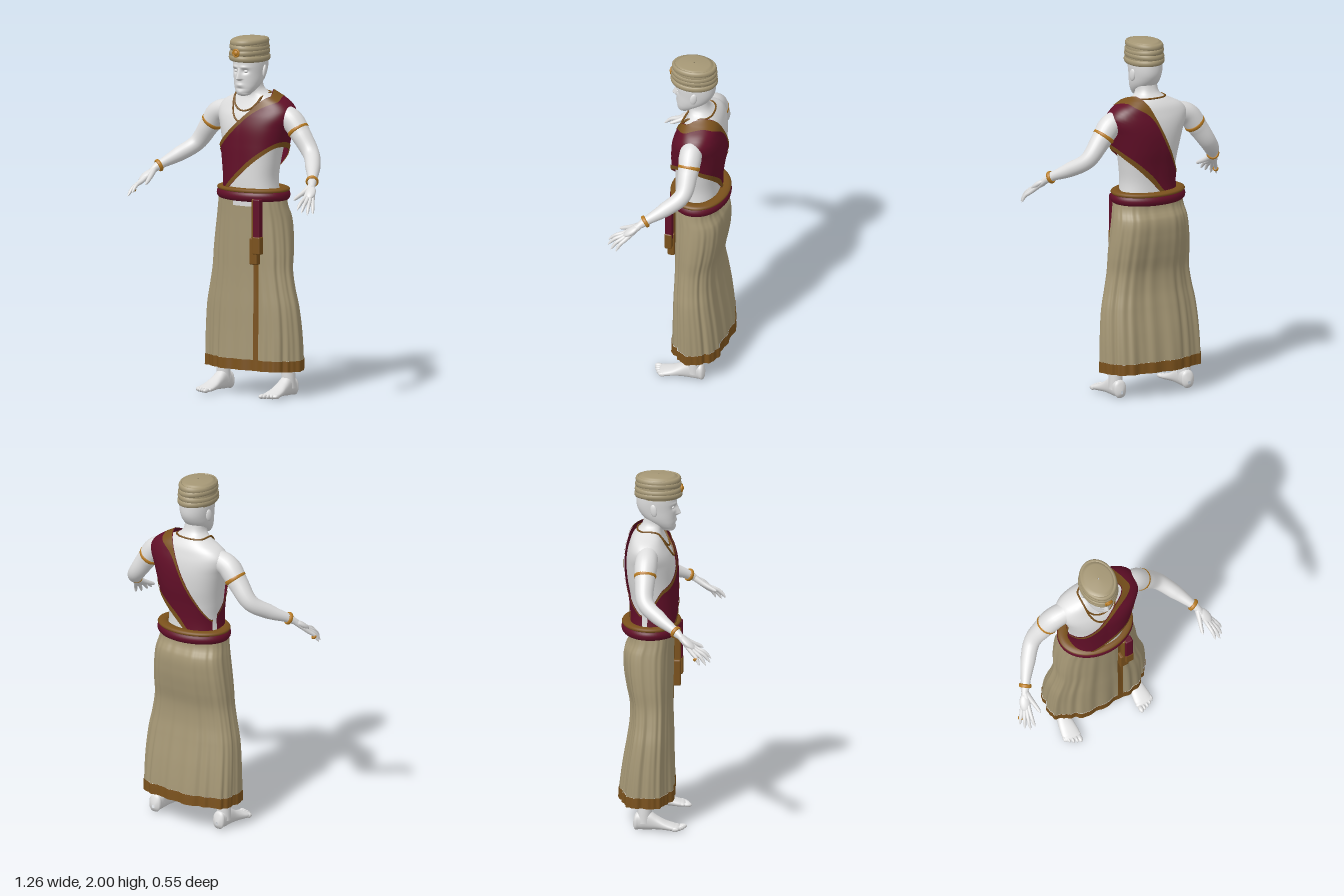
import * as THREE from 'three';
import { ParametricGeometry } from 'three/addons/geometries/ParametricGeometry.js';
import { RoundedBoxGeometry } from 'three/addons/geometries/RoundedBoxGeometry.js';

const { sin, cos, abs, exp, sign, min, max, PI } = Math;
const mat = (name, color, side = THREE.FrontSide) => {
  const m = new THREE.MeshStandardMaterial({ color, side });
  m.name = name;
  return m;
};
const spow = (v, e) => sign(v) * abs(v) ** e;
const bump = (d, s) => exp(-((d / s) ** 2));

// Rounded body from rows [height, half width, front z, back z]; returns a point for (angle, height)
function surface(rows, e) {
  const f = new THREE.CubicInterpolant(rows.map(r => r[0]), rows.flatMap(r => r.slice(1)), 3);
  return (t, y, out = 0) => {
    const [w, a, b] = f.evaluate(y);
    return new THREE.Vector3((w + out) * spow(cos(t), e), y, (a + b) / 2 + ((a - b) / 2 + out) * spow(sin(t), e));
  };
}
const sheet = (fn, y0, y1, nu, nv, a0 = 2 * PI, a1 = 0) => new ParametricGeometry(
  (u, v, p) => p.copy(fn(a0 + (a1 - a0) * u, y0 + (y1 - y0) * v)), nu, nv);

// Oval ring lying flat, optionally tilted sideways
const ring = (y, w, d, cz, rx, ry, tilt = 0) => new ParametricGeometry((u, v, p) => {
  const t = -2 * PI * u, f = 2 * PI * v, o = rx * cos(f);
  p.set((w + o) * cos(t), y + ry * sin(f) + tilt * cos(t), cz + (d + o) * sin(t));
}, 64, 12);

// Tapered limb through points [x, y, z, radius] with a rounded end
function limb(pts, s, seg = 24, radial = 16) {
  const curve = new THREE.CatmullRomCurve3(pts.map(p => new THREE.Vector3(p[0] * s, p[1], p[2])));
  const g = new THREE.TubeGeometry(curve, seg, 1, radial);
  const pos = g.attributes.position, v = new THREE.Vector3();
  for (let i = 0; i <= seg; i++) {
    const u = i / seg, c = curve.getPointAt(u), k = u * (pts.length - 1), n = min(Math.floor(k), pts.length - 2);
    const r = (pts[n][3] + (pts[n + 1][3] - pts[n][3]) * (k - n)) * Math.sqrt(min(1, max(0.01, (1 - u) / 0.12)));
    for (let j = 0; j <= radial; j++) {
      const id = i * (radial + 1) + j;
      v.fromBufferAttribute(pos, id).sub(c).multiplyScalar(r).add(c);
      pos.setXYZ(id, v.x, v.y, v.z);
    }
  }
  return g;
}

export function createModel() {
  const root = new THREE.Group();
  root.name = 'drapedFigure';
  const skin = mat('paleSkin', 0xdedede), tan = mat('tanCloth', 0xa59775, THREE.DoubleSide);
  const red = mat('crimsonCloth', 0x620f28, THREE.DoubleSide), trim = mat('brownTrim', 0x7a511c, THREE.DoubleSide);
  const gold = mat('gold', 0xb97c22);
  const add = (name, geo, m, parent = root) => {
    const mesh = new THREE.Mesh(geo, m);
    mesh.name = name;
    parent.add(mesh);
    return mesh;
  };
  const ball = (name, m, x, y, z, sx, sy, sz, parent = root) => {
    const b = add(name, new THREE.SphereGeometry(1, 20, 14), m, parent);
    b.position.set(x, y, z);
    b.scale.set(sx, sy, sz);
    return b;
  };

  // Torso and neck
  const torso = surface([
    [1.06, .17, .03, -.21], [1.2, .153, .035, -.205], [1.3, .163, .035, -.215], [1.4, .18, .035, -.232],
    [1.5, .205, .028, -.238], [1.56, .225, .01, -.232], [1.6, .222, -.01, -.222], [1.64, .182, -.028, -.208],
    [1.67, .12, -.038, -.188], [1.69, .083, -.038, -.168], [1.71, .065, -.03, -.153], [1.76, .06, -.008, -.14],
    [1.82, .058, -.01, -.14]], .85);
  add('torso', sheet(torso, 1.06, 1.82, 64, 60), skin);

  // Head with modelled face
  const skull = surface([
    [1.672, .006, .008, -.01], [1.678, .03, .022, -.03], [1.695, .048, .031, -.06], [1.72, .064, .035, -.1],
    [1.75, .075, .036, -.14], [1.8, .083, .038, -.175], [1.86, .089, .04, -.185], [1.94, .085, .035, -.175]], .95);
  add('head', sheet((t, y) => {
    const p = skull(t, y);
    if (sin(t) > 0) {
      const x = abs(p.x), n = y > 1.774 ? max(0, (1.835 - y) / .061) : max(0, 1 - (1.774 - y) / .014);
      p.z += .028 * n * bump(x, .008 + .007 * n) - .013 * bump(x - .033, .018) * bump(y - 1.815, .014)
        + .005 * bump(x - .03, .025) * bump(y - 1.838, .009) + .006 * bump(x, .022) * bump(y - 1.737, .01)
        - .004 * bump(x, .025) * bump(y - 1.717, .007) + .004 * bump(x, .018) * bump(y - 1.695, .01);
    }
    return p;
  }, 1.672, 1.94, 128, 80), skin);

  // Sash: band over the left shoulder, steeper across the back
  const edge = (t, slopeF, cF, slopeB, cB) => {
    const w = THREE.MathUtils.smoothstep(sin(t), -.5, .5);
    let lo = 1.13, hi = 1.693;
    for (let i = 0; i < 24; i++) {
      const y = (lo + hi) / 2, x = torso(t, y).x;
      if (y < w * (cF + slopeF * x) + (1 - w) * (cB + slopeB * x)) lo = y; else hi = y;
    }
    return lo;
  };
  const band = (v0, v1, lift) => sheet((t, v) => {
    const a = edge(t, 1, 1.225, 1.17, 1.17), b = max(a + .004, edge(t, 1.05, 1.545, 2.2, 1.53));
    const p = torso(t, a + (b - a) * v, .012 + lift + .02 * max(0, cos(t)));
    p.y += .01 * max(0, (p.y - 1.6) / .1);
    return p;
  }, v0, v1, 120, 24, 1.05 * PI, -.88 * PI);
  add('sash', band(0, 1, 0), red);
  add('sashLowerTrim', band(0, .1, .004), trim);
  add('sashUpperTrim', band(.91, 1, .004), trim);

  // Necklace of two strands
  for (const depth of [.09, .15]) {
    const pts = [];
    for (let i = 0; i < 32; i++) {
      const a = i / 32 * 2 * PI, f = sin(a) > 0;
      const y = f ? 1.68 - depth * sin(a) : 1.685, x = .085 * cos(a);
      const w = torso(0, y).x, t = Math.acos(spow(max(-1, min(1, x / w)), 1 / .85));
      pts.push(torso(f ? t : -t, y, .006));
    }
    add('necklace', new THREE.TubeGeometry(new THREE.CatmullRomCurve3(pts, true), 80, .005, 8, true), trim);
  }

  // Long skirt with soft folds, hem and front stripe
  const skirtBase = surface([
    [.14, .3, .028, -.27], [.2, .3, .026, -.267], [.35, .297, .022, -.25], [.5, .285, .02, -.226],
    [.6, .265, .018, -.212], [.7, .248, .018, -.212], [.8, .243, .02, -.232], [.9, .234, .022, -.248],
    [1, .22, .024, -.248], [1.06, .208, .026, -.222], [1.13, .198, .03, -.22]], .8);
  const skirt = (t, y, out = 0) => {
    const k = .0015 + .0055 * (1.13 - y);
    return skirtBase(t, y, out + k * (sin(7 * t + 1 + y) + .6 * sin(17 * t + 2 * y) + .4 * sin(29 * t)));
  };
  add('skirt', sheet(skirt, .2, 1.13, 160, 50), tan);
  add('skirtHem', sheet((t, y) => skirt(t, y, .002), .14, .2, 160, 4), trim);
  add('skirtStripe', new ParametricGeometry((u, v, p) => {
    const y = .2 + .88 * v, w = skirtBase(0, y).x;
    p.copy(skirt(Math.acos(((.082 + .033 * u) / w) ** 1.25), y, .005));
  }, 6, 50), trim);

  // Rolled belt and its hanging tails
  add('belt', ring(1.118, .198, .143, -.1, .024, .03), red);
  add('beltRim', ring(1.148, .19, .135, -.1, .03, .014), trim);
  const tail = (name, m, x, y, z, w, h, d) =>
    add(name, new RoundedBoxGeometry(w, h, d, 3, .008), m).position.set(x, y, z);
  tail('tailRed', red, .131, .985, .044, .046, .25, .04);
  tail('tailEdge', trim, .106, .96, .038, .022, .3, .036);
  tail('tailFringeLong', trim, .105, .815, .036, .052, .15, .04);
  tail('tailFringeShort', trim, .133, .85, .046, .05, .1, .042);

  // Wrapped turban with brooch
  const cap = surface([
    [1.868, .095, .055, -.178], [1.9, .1, .062, -.188], [1.94, .098, .06, -.186], [1.97, .097, .056, -.182],
    [1.99, .086, .04, -.165], [1.997, .06, .01, -.135], [2, .004, -.056, -.066]], 1);
  add('turban', sheet(cap, 1.868, 2, 64, 30), tan);
  [[1.887, .094, -.004], [1.915, .092, .005], [1.945, .09, -.005], [1.972, .087, .004]].forEach(([y, w, tilt]) =>
    add('turbanWrap', ring(y, w, w + .028, -.062, .012, .018, tilt), tan));
  ball('broochCentre', gold, 0, 1.92, .068, .016, .016, .012);
  add('broochRing', new THREE.TorusGeometry(.019, .006, 8, 20), gold).position.set(0, 1.92, .068);

  const foot = surface([
    [-.075, .008, -.02, -.04], [-.07, .026, -.004, -.07], [-.04, .036, 0, -.1], [.01, .037, 0, -.11],
    [.06, .04, -.003, -.078], [.11, .047, -.002, -.05], [.16, .05, 0, -.033], [.185, .042, -.004, -.024],
    [.192, .01, -.01, -.016]], .85);
  for (const s of [1, -1]) {
    const side = s > 0 ? 'left' : 'right';
    // Ear and eye
    ball(side + 'Ear', skin, s * .088, 1.81, -.082, .01, .036, .02).rotation.set(-.15, s * .3, 0);
    ball(side + 'Eye', skin, s * .032, 1.815, .018, .014, .009, .011);

    // Arm
    add(side + 'Arm', limb([[.17, 1.575, -.11, .06], [.245, 1.55, -.112, .064], [.315, 1.465, -.115, .054],
      [.39, 1.365, -.105, .046], [.462, 1.3, -.02, .042], [.525, 1.245, .075, .027], [.56, 1.2, .13, .024]], s, 48, 24), skin);
    // Hand and fingers
    const hand = new THREE.Group();
    hand.name = side + 'Hand';
    root.add(hand);
    const palm = ball('palm', skin, s * .562, 1.194, .143, .03, .018, .052, hand);
    palm.lookAt(s * .6, 1.12, .24);
    [[.555, 1.17, .185, .563, 1.112, .272], [.571, 1.163, .186, .59, 1.096, .27],
      [.584, 1.156, .179, .613, 1.084, .246], [.594, 1.152, .166, .628, 1.086, .212]].forEach(([x, y, z, a, b, c]) =>
      add('finger', limb([[.537, 1.233, .092, .018], [x, y, z, .014],
        [(x + a) / 2 + .003, (y + b) / 2 + .008, (z + c) / 2 + .004, .011], [a, b, c, .008]], s, 20, 10), skin, hand));
    add('thumb', limb([[.537, 1.23, .095, .018], [.525, 1.198, .145, .015], [.513, 1.175, .19, .012],
      [.506, 1.158, .226, .009]], s, 16, 10), skin, hand);

    // Armband and bracelet
    const bangle = (name, r, tube, p, q) => {
      const b = add(name, new THREE.TorusGeometry(r, tube, 10, 36), gold);
      b.position.set(s * p[0], p[1], p[2]);
      b.lookAt(s * q[0], q[1], q[2]);
      b.scale.z = 1.8;
    };
    bangle(side + 'Armband', .056, .007, [.293, 1.493, -.115], [.373, 1.393, -.112]);
    bangle(side + 'Bracelet', .03, .006, [.523, 1.247, .072], [.583, 1.197, .162]);
    if (s < 0) bangle('fingerRing', .012, .004, [.611, 1.12, .19], [.628, 1.086, .212]);

    // Leg and foot
    add(side + 'Leg', limb([[.222, .04, -.125, .04], [.22, .13, -.122, .039], [.21, .28, -.125, .055],
      [.19, .45, -.12, .06], [.17, .6, -.1, .06]], s), skin);
    const g = new THREE.Group();
    g.name = side + 'Foot';
    g.position.set(s * .22, 0, -.112);
    g.rotation.y = s * .03;
    root.add(g);
    add('foot', sheet(foot, -.075, .192, 32, 32).rotateX(PI / 2), skin, g);
    for (let i = 0; i < 5; i++) {
      ball('toe', skin, s * (-.036 + i * .02), .014, .198 - i * i * .0022, i ? .0095 : .014, .013, i ? .02 : .024, g);
    }
  }
  return root;
}
